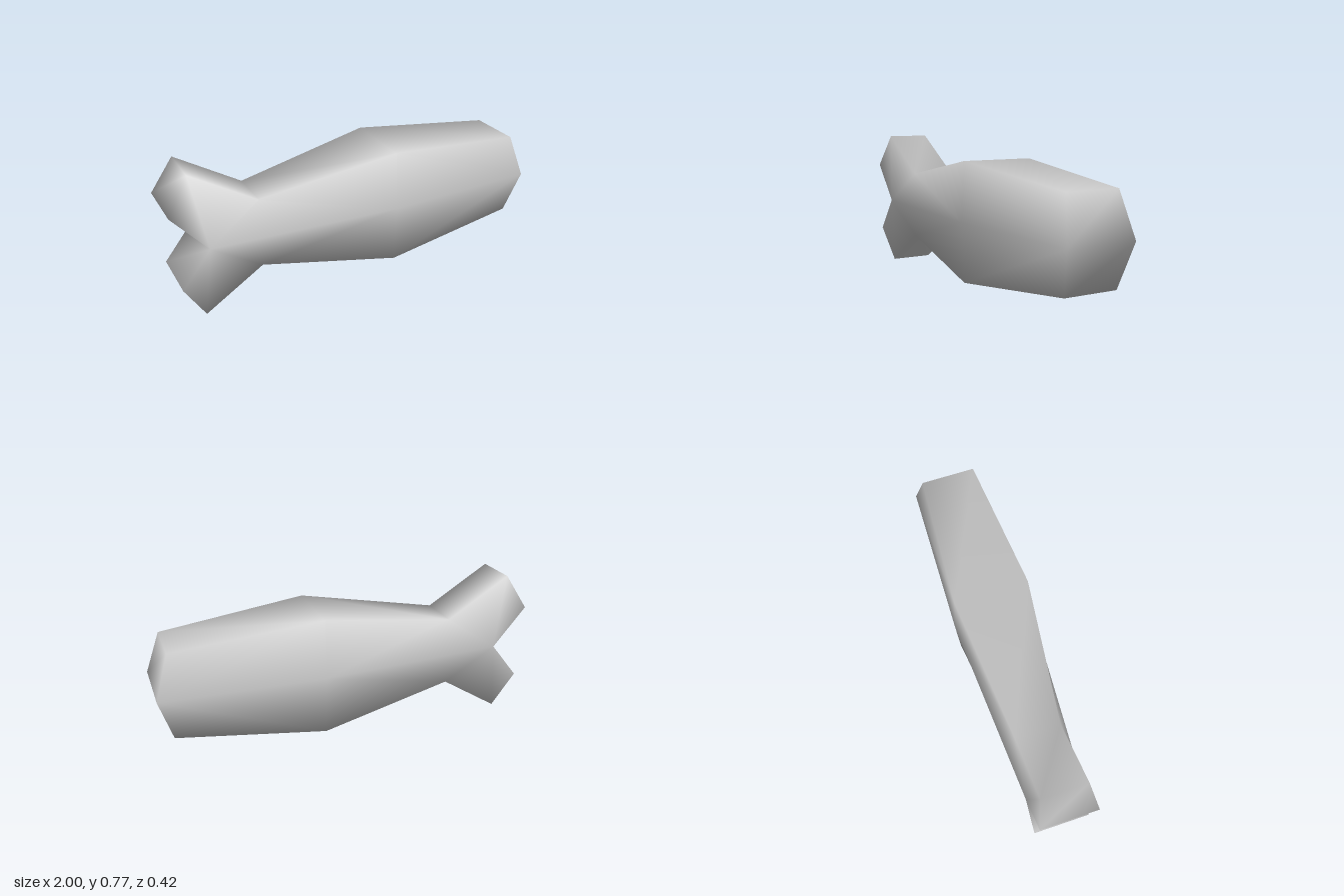
import * as THREE from 'three';

// Silhouette, counter-clockwise from the nose: x, y, half thickness
const outline = [
  [1.0, 0.375, 0.185], [0.93, 0.6, 0.143], [0.165, 0.682, 0.193], [-0.555, 0.561, 0.117],
  [-0.89, 0.766, 0.117], [-1.0, 0.585, 0.148], [-0.823, 0.378, 0.148], [-0.973, 0.189, 0.148],
  [-0.863, 0.0, 0.117], [-0.555, 0.195, 0.117], [0.165, 0.066, 0.193], [0.93, 0.15, 0.143],
];
const bulge = [0.165, 0.375, 0.21]; // widest point in the middle of each flank

// Flank quads, indexing the outline (12 is the bulge)
const flank = [
  [0, 1, 2, 12], [12, 2, 3, 6], [6, 3, 4, 5],
  [6, 7, 8, 9], [12, 6, 9, 10], [0, 12, 10, 11],
];

function bodyGeometry() {
  const points = [...outline, bulge];
  const n = outline.length, back = points.length;
  const positions = [], index = [];
  for (const side of [1, -1]) {
    for (const [x, y, z] of points) positions.push(x, y, side * z);
  }
  const quad = (a, b, c, d) => index.push(a, b, c, a, c, d);

  // Both flanks, mirrored front to back
  for (const [a, b, c, d] of flank) {
    quad(a, b, c, d);
    quad(a + back, d + back, c + back, b + back);
  }
  // Rim joining the flanks
  for (let i = 0; i < n; i++) {
    const j = (i + 1) % n;
    quad(i, i + back, j + back, j);
  }

  const geometry = new THREE.BufferGeometry();
  geometry.setAttribute('position', new THREE.Float32BufferAttribute(positions, 3));
  geometry.setIndex(index);
  geometry.computeVertexNormals();
  return geometry;
}

export function createModel() {
  const grey = new THREE.MeshStandardMaterial({ color: 0xcccccc });
  grey.name = 'light grey';
  const body = new THREE.Mesh(bodyGeometry(), grey);
  body.name = 'bodyWithForkedTail';

  const model = new THREE.Group();
  model.name = 'fish';
  model.add(body);
  return model;
}
